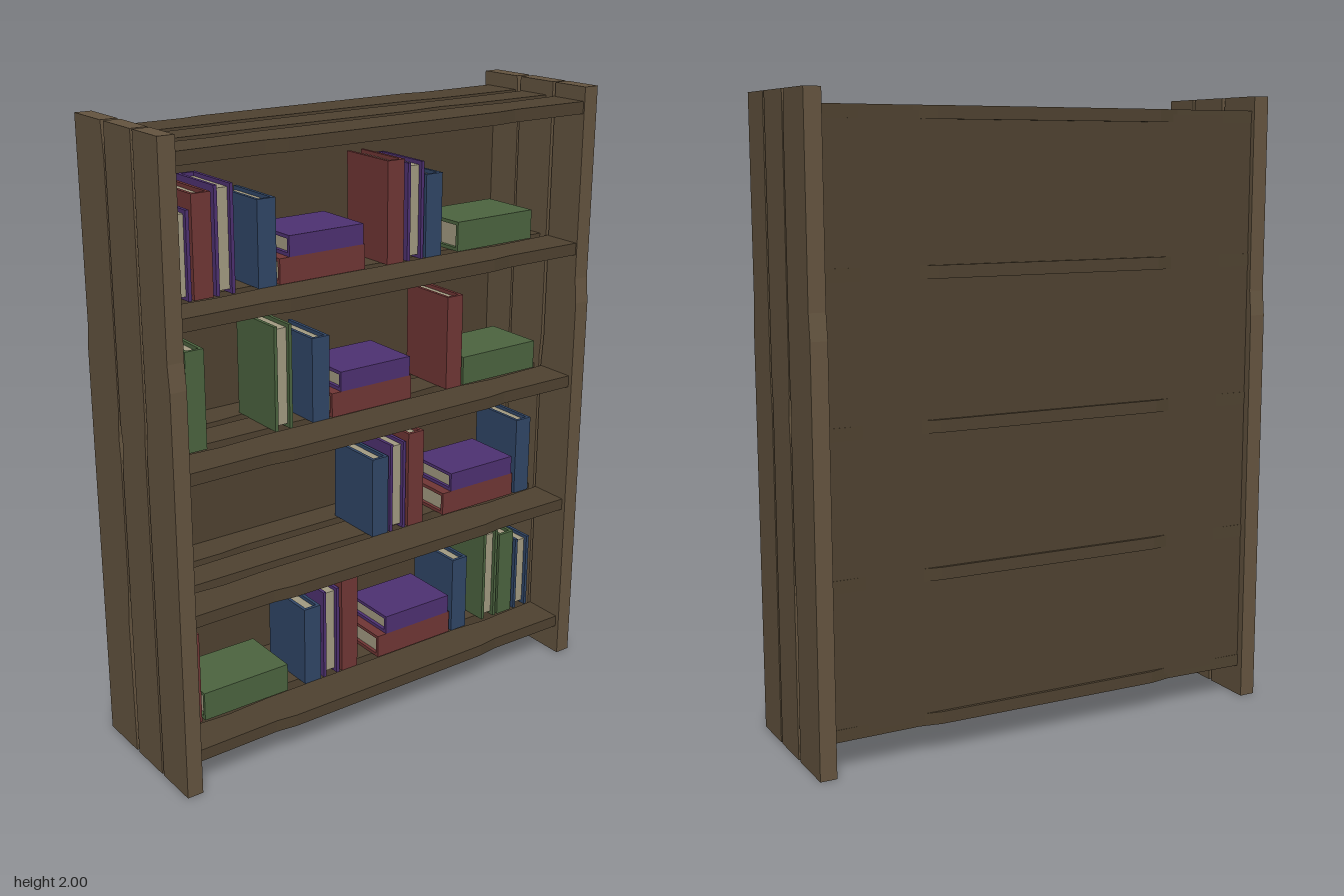
import * as THREE from 'three';

const mat = (color) => new THREE.MeshStandardMaterial({ color, flatShading: true });

export function createModel() {
  const model = new THREE.Group();
  model.name = 'bookcase';
  const postWood = mat(0x64543f), shelfWood = mat(0x4f4230), paper = mat(0xa39b82);
  const covers = { red: mat(0x703635), purple: mat(0x4e3172), green: mat(0x4c643f), blue: mat(0x304667) };

  // Plank cut to a worn outline: points are [across, along]
  function plankGeometry(points, thickness) {
    const shape = new THREE.Shape(points.map(([a, b]) => new THREE.Vector2(a, b)));
    return new THREE.ExtrudeGeometry(shape, { depth: thickness, bevelEnabled: false });
  }
  function add(parent, name, geometry, material, x = 0, y = 0, z = 0) {
    const mesh = new THREE.Mesh(geometry, material);
    mesh.name = name;
    mesh.position.set(x, y, z);
    parent.add(mesh);
    return mesh;
  }

  // Side posts: three upright planks each, with worn edges [z, y]
  const postPlanks = [
    [[0.1, 0], [0.25, 0], [0.25, 1.3], [0.241, 1.38], [0.241, 2], [0.106, 2], [0.106, 1.15], [0.098, 1.05]],
    [[-0.06, 0], [0.09, 0], [0.088, 1.08], [0.094, 1.16], [0.094, 2], [-0.06, 2], [-0.06, 1.12], [-0.052, 1.06], [-0.06, 0.95]],
    [[-0.245, 0], [-0.074, 0], [-0.08, 0.45], [-0.07, 0.6], [-0.07, 1.0], [-0.076, 1.07], [-0.068, 1.15],
      [-0.068, 1.9], [-0.078, 2], [-0.236, 2], [-0.236, 1.38], [-0.245, 1.3]],
  ];
  for (const [side, name] of [[1, 'leftPost'], [-1, 'rightPost']]) {
    const post = new THREE.Group();
    post.name = name;
    for (const points of postPlanks) {
      const geometry = plankGeometry(points, 0.053).rotateY(-Math.PI / 2);
      add(post, 'postPlank', geometry, postWood, side > 0 ? 0.785 : -0.732);
    }
    model.add(post);
  }

  // Shelves: three planks each, with worn edges [x, z]
  const X = 0.735;
  const shelfPlanks = [
    [[-X, 0.1], [-0.55, 0.11], [-0.4, 0.1], [0.38, 0.1], [0.5, 0.11], [X, 0.1],
      [X, 0.236], [0.45, 0.232], [0.38, 0.241], [-0.38, 0.241], [-0.45, 0.232], [-X, 0.236]],
    [[-X, -0.052], [-0.6, -0.046], [-0.4, -0.052], [0.1, -0.055], [0.4, -0.045], [X, -0.052],
      [X, 0.064], [0.4, 0.064], [0.3, 0.055], [0.15, 0.068], [-0.3, 0.06], [-X, 0.064]],
    [[-X, -0.222], [-0.45, -0.217], [-0.38, -0.23], [0.38, -0.23], [0.45, -0.217], [X, -0.222],
      [X, -0.083], [0.4, -0.083], [0.3, -0.092], [-0.35, -0.092], [-0.45, -0.083], [-X, -0.083]],
  ];
  for (const top of [0.14, 0.595, 1.045, 1.5, 1.955]) {
    const shelf = new THREE.Group();
    shelf.name = 'shelf';
    for (const points of shelfPlanks) {
      add(shelf, 'shelfPlank', plankGeometry(points, 0.039).rotateX(Math.PI / 2), shelfWood, 0, top);
    }
    model.add(shelf);
  }

  // Back panel
  add(model, 'backPanel', new THREE.BoxGeometry(1.47, 1.82, 0.03), shelfWood, 0, 1.03, -0.205);

  // Book with its spine towards +z, centred on the origin
  const depth = 0.21, board = 0.011;
  function makeBook(width, height, material) {
    const book = new THREE.Group();
    book.name = 'book';
    for (const s of [-1, 1]) {
      add(book, 'cover', new THREE.BoxGeometry(board, height, depth), material, s * (width - board) / 2);
    }
    add(book, 'spine', new THREE.BoxGeometry(width - 2 * board, height, board), material, 0, 0, (depth - board) / 2);
    add(book, 'pages', new THREE.BoxGeometry(width - 2 * board, height - 0.024, depth - 0.025), paper, 0, 0, 0.001);
    return book;
  }
  // Upright books face spine out unless pagesOut is set
  function upright(y, color, x, height, pagesOut = false) {
    const book = makeBook(0.063, height, covers[color]);
    book.position.set(x, y + height / 2, -0.005);
    if (pagesOut) book.rotation.y = Math.PI;
    model.add(book);
  }
  function flat(y, color, x, length, thickness) {
    const book = makeBook(thickness, length, covers[color]);
    book.rotation.z = Math.PI / 2;
    book.position.set(x, y + thickness / 2, -0.006);
    model.add(book);
  }
  function stack(y, x) {
    flat(y, 'red', x, 0.308, 0.078);
    flat(y + 0.078, 'purple', x + 0.014, 0.268, 0.064);
  }

  // Books per shelf: [colour, x, height, pagesOut]; stacks and flat green volumes by x
  const rows = [
    { y: 0.14, stack: 0.197, green: -0.475, books: [['red', -0.673, 0.31], ['blue', -0.222, 0.27],
      ['purple', -0.148, 0.31, true], ['red', -0.075, 0.333], ['blue', 0.393, 0.27],
      ['green', 0.532, 0.33, true], ['green', 0.604, 0.31], ['blue', 0.68, 0.27, true]] },
    { y: 0.595, stack: 0.466, books: [['blue', 0.048, 0.27], ['purple', 0.119, 0.305, true],
      ['red', 0.193, 0.327], ['blue', 0.662, 0.27]] },
    { y: 1.045, stack: 0.014, green: 0.54, books: [['blue', -0.696, 0.27, true], ['green', -0.62, 0.31],
      ['green', -0.318, 0.33, true], ['blue', -0.182, 0.27], ['red', 0.344, 0.31]] },
    { y: 1.5, stack: -0.17, green: 0.503, books: [['purple', -0.652, 0.262, true], ['red', -0.581, 0.305],
      ['purple', -0.508, 0.32, true], ['blue', -0.367, 0.262], ['red', 0.099, 0.32],
      ['purple', 0.176, 0.305, true], ['blue', 0.248, 0.262]] },
  ];
  for (const row of rows) {
    for (const book of row.books) upright(row.y, ...book);
    stack(row.y, row.stack);
    if (row.green !== undefined) flat(row.y, 'green', row.green, 0.31, 0.095);
  }
  return model;
}
